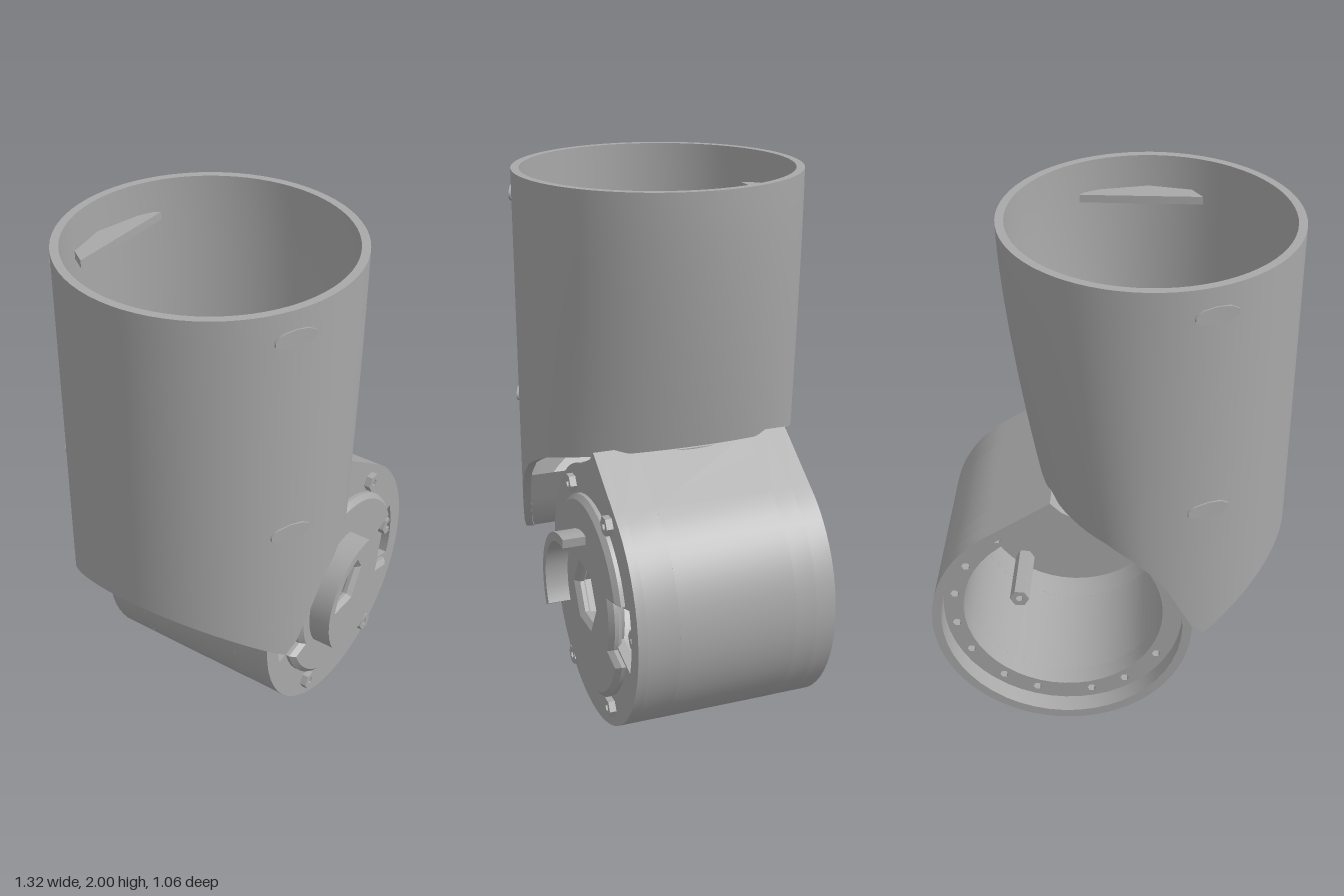
import * as THREE from 'three';
import { toCreasedNormals } from 'three/addons/utils/BufferGeometryUtils.js';

const CX = 0.17, CY = 0.49, R = 0.49;   // drum axis and radius
const TX = -0.135;                      // tube axis
const rad = THREE.MathUtils.degToRad;

// Points on an arc, angles in degrees
function arc(cx, cy, r, a0, a1, n = 40) {
  return Array.from({ length: n + 1 }, (_, i) => {
    const a = rad(a0 + (a1 - a0) * i / n);
    return new THREE.Vector2(cx + r * Math.cos(a), cy + r * Math.sin(a));
  });
}
const circle = (cx, cy, r, n = 40) => arc(cx, cy, r, 0, 360 * (n - 1) / n, n - 1);
const sector = (r0, r1, a0, a1, n = 8) =>
  [...arc(CX, CY, r1, a0, a1, n), ...arc(CX, CY, r0, a1, a0, n)];

function plate(points, holes, depth, bevel = 0) {
  const shape = new THREE.Shape(points);
  for (const h of holes) shape.holes.push(new THREE.Path(h));
  const g = new THREE.ExtrudeGeometry(shape, {
    depth, bevelEnabled: bevel > 0, bevelThickness: bevel, bevelSize: bevel, bevelSegments: 1,
  });
  return toCreasedNormals(g, 0.5);
}

// Surface from a grid of points, rows joined to their neighbours
function grid(rows) {
  const w = rows[0].length, index = [];
  for (let i = 0; i < rows.length - 1; i++)
    for (let j = 0; j < w - 1; j++) {
      const a = i * w + j, b = a + 1, c = a + w, d = c + 1;
      index.push(a, c, b, b, c, d);
    }
  const g = new THREE.BufferGeometry();
  g.setAttribute('position', new THREE.Float32BufferAttribute(rows.flat(2), 3));
  g.setIndex(index);
  return toCreasedNormals(g, 0.6);
}

// Lower edge of the tube, as height over x
const EDGE = [[-0.66, 0.8], [-0.36, 0.56], [-0.32, 0.6], [-0.2, 0.84], [-0.1, 0.93],
  [0, 0.985], [0.17, 1.03], [0.27, 1.06]];
function edgeY(x) {
  for (let i = 1; i < EDGE.length; i++) {
    const [x0, y0] = EDGE[i - 1], [x1, y1] = EDGE[i];
    if (x <= x1) return y0 + (y1 - y0) * Math.max(0, (x - x0) / (x1 - x0));
  }
  return EDGE[EDGE.length - 1][1];
}

// Tube wall point: round, but narrowing downwards on the +x side
function wallPoint(a, y, inset) {
  const c = Math.cos(a);
  const k = c > 0 ? 1 - 0.23 * Math.pow(Math.max(0, (2 - y) / 0.94), 1.5) : 1;
  return [TX + (0.525 - inset) * c * k, y, (0.53 - inset) * Math.sin(a)];
}

function tubeGeometry() {
  const rows = [], N = 72, M = 12;
  for (let i = 0; i <= N; i++) {
    const a = i / N * Math.PI * 2, c = Math.cos(a);
    const low = edgeY(TX + c * (c > 0 ? 0.405 : 0.525));
    const outer = [], inner = [];
    for (let j = 0; j <= M; j++) {
      const y = 2 + (low - 2) * j / M;
      outer.push(wallPoint(a, y, 0));
      inner.unshift(wallPoint(a, y, 0.03));
    }
    rows.push([...outer, ...inner, outer[0]]);
  }
  return grid(rows);
}

export function createModel() {
  const group = new THREE.Group();
  const grey = new THREE.MeshStandardMaterial({ color: 0xa8a8a8, side: THREE.DoubleSide });
  grey.name = 'grey';
  const add = (name, geometry, x = 0, y = 0, z = 0) => {
    const m = new THREE.Mesh(geometry, grey);
    m.name = name;
    m.position.set(x, y, z);
    group.add(m);
    return m;
  };

  // Upright tube and its sloping underside
  add('tubeWall', tubeGeometry());
  const under = [-0.655, -0.6, -0.54, -0.48, -0.42, -0.36, -0.32, -0.26, -0.2].map(x => {
    const z = 0.52 * Math.sqrt(Math.max(0, 1 - ((x - TX) / 0.525) ** 2));
    return [[x, edgeY(x), -z], [x, edgeY(x), z]];
  });
  add('tubeUnderside', grid(under));

  // Floor of the tube, with a round opening, bolt holes and a slot
  const rim = circle(0, 0, 0.5, 60).map(p => new THREE.Vector2(TX + p.x * (p.x > 0 ? 0.74 : 1), p.y));
  const floorHoles = [circle(TX, 0, 0.23)];
  for (const a of [30, 70, 95]) for (const s of [-1, 1])
    floorHoles.push(circle(TX + 0.28 * Math.cos(rad(a)), s * 0.28 * Math.sin(rad(a)), 0.017, 6));
  for (const s of [-1, 1])
    floorHoles.push([[-0.55, 0.06], [-0.48, 0.06], [-0.48, 0.12], [-0.55, 0.12]]
      .map(([x, y]) => new THREE.Vector2(x, s * y)));
  add('tubeFloor', plate(rim, floorHoles, 0.02), 0, 1.04, 0).rotation.x = Math.PI / 2;
  const pin = add('floorPin', toCreasedNormals(new THREE.CylinderGeometry(0.06, 0.06, 0.26, 8), 0.5), -0.5, 1.08, 0);
  pin.rotation.z = Math.PI / 2;

  // Flat ledges and small side slots, mirrored front and back
  const ledge = [[-0.32, 0.41], [0.13, 0.41], [0.1, 0.45], [-0.12, 0.5], [-0.28, 0.47]]
    .map(([x, y]) => new THREE.Vector2(x, y));
  for (const s of [-1, 1]) {
    const pts = ledge.map(p => new THREE.Vector2(p.x, s * p.y));
    add('innerLedge', plate(pts, [], 0.03), 0, 1.88, 0).rotation.x = Math.PI / 2;
    for (const y of [1.9, 1.135]) {
      const a = Math.atan2(s * 0.48, -0.22);
      const slot = add('sideSlot', new THREE.CylinderGeometry(0.08, 0.08, 0.008, 10),
        TX + 0.526 * Math.cos(a), y, 0.531 * Math.sin(a));
      slot.scale.z = 0.4;
      slot.rotation.set(Math.PI / 2, 0, Math.PI / 2 - a, 'YXZ');
      slot.rotation.y = Math.PI / 2 - a;
      slot.rotation.z = 0;
    }
  }

  // Drum outline: a circle with a peak that meets the tube
  const tip = [new THREE.Vector2(0.2, 1.06), new THREE.Vector2(0.16, 1.02)];
  const outline = [...arc(CX, CY, R, 104, 419, 56), ...tip];
  const inner = circle(CX, CY, 0.38, 48);
  const bolts = [-150, -125, -105, -75, -55, -30, -10, 10, 30, 55, 75, 105, 125, 150]
    .map(a => circle(CX + 0.415 * Math.cos(rad(a)), CY + 0.415 * Math.sin(rad(a)), 0.017, 6));
  add('drumRim', plate(outline, [circle(CX, CY, 0.455, 48)], 0.075), 0, 0, -0.375);
  add('drumBoltRing', plate(outline, [inner, ...bolts], 0.08), 0, 0, -0.3);
  const open = [...arc(CX, CY, R, 165, 419, 46), ...tip, ...arc(CX, CY, R, 99, 100, 1),
    ...arc(CX, CY, 0.38, 100, -195, 50)];
  add('drumOpenBand', plate(open, [], 0.44), 0, 0, -0.22);
  add('drumFrontBand', plate(outline, [inner], 0.12), 0, 0, 0.22);

  // Front plate with a six-sided hole and two side windows
  const hex = circle(CX, CY, 0.122, 6);
  add('frontPlate', plate(outline, [hex, sector(0.25, 0.42, -17, 17), sector(0.28, 0.42, 163, 197)], 0.035),
    0, 0, 0.34);
  const disc = [...arc(CX, CY, 0.36, 21, 159, 24), ...arc(CX, CY, 0.29, 157, 203, 8),
    ...arc(CX, CY, 0.36, 201, 339, 24), ...arc(CX, CY, 0.27, -23, 23, 8)];
  add('raisedDisc', plate(disc, [circle(CX, CY, 0.135, 6)], 0.015, 0.018), 0, 0, 0.375);
  add('curvedRib', plate(sector(0.215, 0.25, 84, 210, 16), [], 0.115), 0, 0, 0.38);

  // Tabs beside the windows
  for (const [x, s] of [[-0.235, -1], [0.575, 1]])
    add('windowTab', plate(circle(0, 0, 0.04, 6), [circle(0, 0, 0.016, 6)], 0.03), x + s * 0.005, 0.5, 0.34);

  // Bolt heads on the front, and two posts inside the drum
  for (const x of [-0.04, 0.38]) for (const y of [0.13, 0.855])
    add('frontBolt', plate(circle(0, 0, 0.037, 6), [circle(0, 0, 0.015, 6)], 0.03), x, y, 0.37);
  for (const [x, y] of [[-0.04, 0.74], [0.38, 0.22]])
    add('innerPost', plate(circle(0, 0, 0.04, 6), [circle(0, 0, 0.016, 6)], 0.28), x, y, 0.07);

  return group;
}
